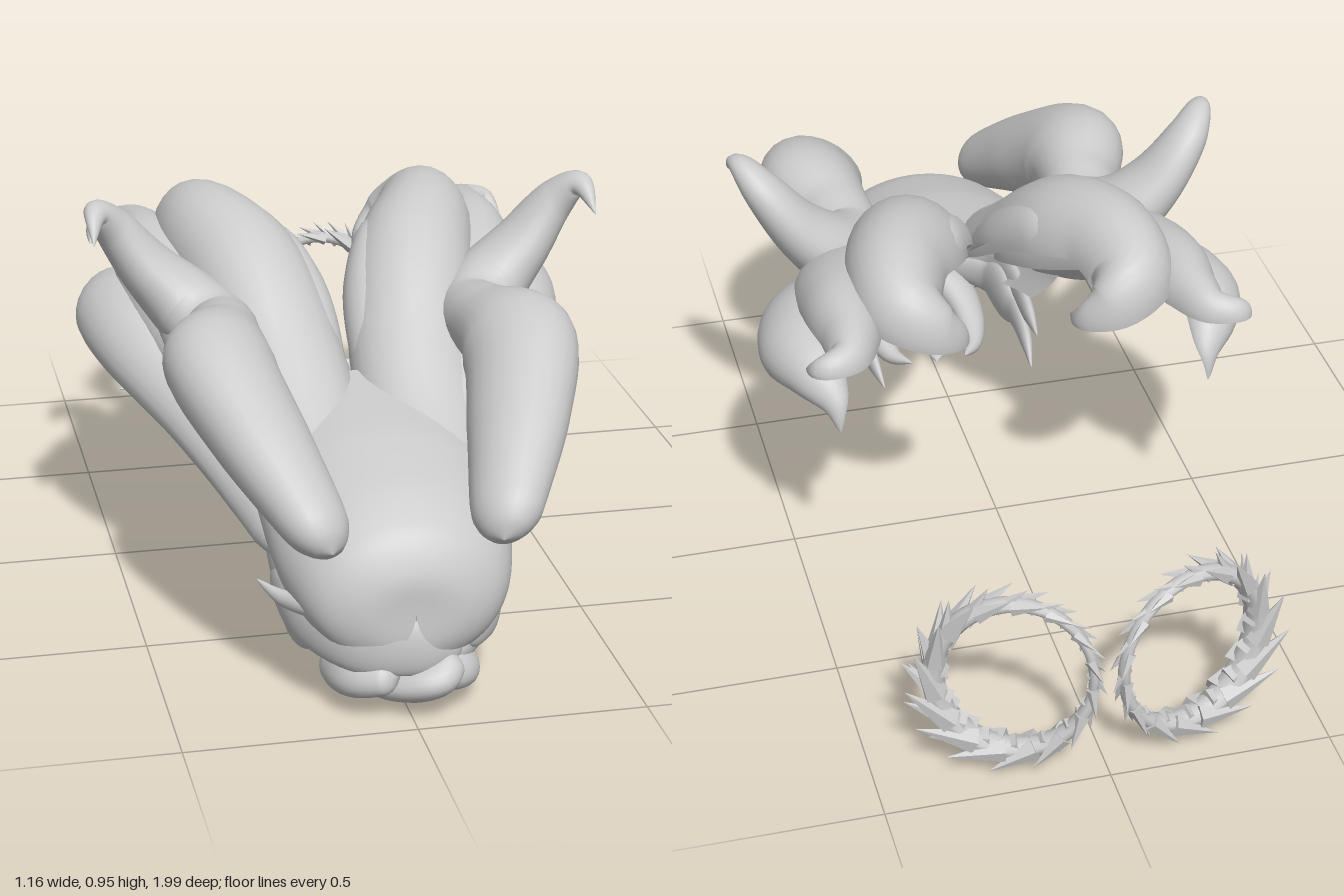
import * as THREE from 'three';

const V = (x, y, z) => new THREE.Vector3(x, y, z);
const material = new THREE.MeshStandardMaterial({ color: 0xcccccc });
const openMaterial = new THREE.MeshStandardMaterial({ color: 0xcccccc, side: THREE.DoubleSide });
const leafMaterial = new THREE.MeshStandardMaterial({ color: 0xcccccc, flatShading: true });

// Triangles for a grid of rows x cols; wrap joins the last column to the first
function gridGeometry(pos, rows, cols, wrap) {
  const index = [];
  for (let i = 0; i < rows - 1; i++) {
    for (let j = 0; j < (wrap ? cols : cols - 1); j++) {
      const k = (j + 1) % cols, a = i * cols, b = a + cols;
      index.push(a + j, b + j, a + k, b + j, b + k, a + k);
    }
  }
  const g = new THREE.BufferGeometry();
  g.setAttribute('position', new THREE.Float32BufferAttribute(pos, 3));
  g.setIndex(index);
  g.computeVertexNormals();
  return g;
}

// Tapered lock of hair. Each point is [x, y, z, half width, half thickness];
// under scales the lower half of the section (negative makes it hollow).
function strand(name, points, { s = 1, up = [0, 1, 0], under = 1, rows = 48, cols = 24 } = {}) {
  const path = new THREE.CatmullRomCurve3(points.map(p => V(p[0] * s, p[1], p[2])));
  const size = new THREE.CatmullRomCurve3(points.map(p => V(p[3], p[4], 0)));
  const hint = V(up[0] * s, up[1], up[2]), pos = [];
  for (let i = 0; i < rows; i++) {
    const u = i / (rows - 1);
    const c = path.getPoint(u), T = path.getTangent(u), r = size.getPoint(u);
    const e = Math.min(1, u / 0.08), f = Math.min(1, (1 - u) / 0.05);
    const round = Math.sqrt(1 - (1 - e) ** 2) * Math.sqrt(1 - (1 - f) ** 2);
    const side = T.clone().cross(hint).normalize();
    const top = side.clone().cross(T).normalize();
    for (let j = 0; j < cols; j++) {
      const a = (j / cols) * Math.PI * 2, sn = Math.sin(a);
      const p = c.clone()
        .addScaledVector(side, Math.cos(a) * Math.max(r.x, 0) * round)
        .addScaledVector(top, (sn > 0 ? sn : sn * under) * Math.max(r.y, 0) * round);
      pos.push(p.x, p.y, p.z);
    }
  }
  const mesh = new THREE.Mesh(gridGeometry(pos, rows, cols, true), material);
  mesh.name = name;
  return mesh;
}

// Hollow crown, open underneath; sections are [z, top, bottom, half width]
function crown() {
  const sections = [
    [0.97, 0.265, 0.265, 0], [0.965, 0.35, 0.17, 0.12], [0.92, 0.43, 0.12, 0.2],
    [0.8, 0.495, 0.12, 0.25], [0.65, 0.535, 0.18, 0.265], [0.5, 0.555, 0.26, 0.265],
    [0.35, 0.57, 0.34, 0.255]];
  const mids = new THREE.CatmullRomCurve3(sections.map(q => V(q[3], (q[1] + q[2]) / 2, q[0])));
  const heights = new THREE.CatmullRomCurve3(sections.map(q => V((q[1] - q[2]) / 2, 0, 0)));
  const rows = 40, cols = 40, pos = [];
  for (let i = 0; i < rows; i++) {
    const u = i / (rows - 1), m = mids.getPoint(u), h = heights.getPoint(u).x;
    const gap = 45 * Math.min(1, u * 3);
    for (let j = 0; j < cols; j++) {
      const a = THREE.MathUtils.degToRad(-90 + gap + (360 - 2 * gap) * j / (cols - 1));
      pos.push(m.x * Math.cos(a), m.y + h * Math.sin(a), m.z);
    }
  }
  const mesh = new THREE.Mesh(gridGeometry(pos, rows, cols, false), openMaterial);
  mesh.name = 'crown';
  return mesh;
}

// Locks that appear on both sides
function sideHair(s) {
  const g = new THREE.Group();
  g.name = s > 0 ? 'leftHair' : 'rightHair';
  const hollow = { s, under: -0.5 };
  g.add(
    strand('innerLobe', [
      [0.11, 0.37, 0.75, 0.09, 0.08], [0.135, 0.45, 0.5, 0.13, 0.1], [0.145, 0.56, 0.3, 0.14, 0.125],
      [0.195, 0.71, 0.08, 0.14, 0.145], [0.255, 0.76, -0.08, 0.115, 0.13], [0.265, 0.73, -0.2, 0.095, 0.12],
      [0.205, 0.69, -0.25, 0.06, 0.09], [0.15, 0.67, -0.235, 0.03, 0.05], [0.13, 0.66, -0.17, 0.002, 0.002]], hollow),
    strand('centreFringe', [
      [0.06, 0.4, 0.6, 0.04, 0.05], [0.068, 0.53, 0.35, 0.06, 0.06], [0.085, 0.67, 0.17, 0.07, 0.075],
      [0.12, 0.75, 0.03, 0.05, 0.07], [0.17, 0.74, -0.08, 0.01, 0.02]], { s, under: 0 }),
    strand('middleLobe', [
      [0.18, 0.37, 0.6, 0.08, 0.1], [0.25, 0.5, 0.33, 0.11, 0.12], [0.34, 0.63, 0.08, 0.12, 0.12],
      [0.385, 0.7, -0.12, 0.09, 0.1], [0.395, 0.71, -0.25, 0.065, 0.08], [0.42, 0.71, -0.325, 0.045, 0.06],
      [0.475, 0.71, -0.345, 0.03, 0.04], [0.505, 0.69, -0.29, 0.003, 0.003]], hollow),
    strand('outerLobe', [
      [0.2, 0.3, 0.72, 0.06, 0.05], [0.23, 0.37, 0.5, 0.09, 0.06], [0.32, 0.48, 0.28, 0.105, 0.07],
      [0.43, 0.58, 0.08, 0.115, 0.09], [0.475, 0.605, -0.07, 0.1, 0.08], [0.46, 0.6, -0.18, 0.07, 0.06],
      [0.435, 0.56, -0.25, 0.035, 0.03], [0.43, 0.5, -0.285, 0.003, 0.003]],
      { s, up: [0.5, 0.8, 0], under: 0 }),
    strand('hornLock', [
      [0.18, 0.42, 0.985, 0.065, 0.05], [0.21, 0.47, 0.9, 0.085, 0.07], [0.275, 0.57, 0.73, 0.115, 0.095],
      [0.33, 0.665, 0.53, 0.13, 0.11], [0.305, 0.665, 0.38, 0.09, 0.095], [0.295, 0.655, 0.27, 0.085, 0.09],
      [0.345, 0.69, 0.19, 0.1, 0.085], [0.43, 0.775, 0.165, 0.085, 0.065], [0.51, 0.885, 0.175, 0.055, 0.045],
      [0.55, 0.93, 0.22, 0.03, 0.025], [0.567, 0.88, 0.3, 0.002, 0.002]],
      { s, up: [-0.5, 0.8, 0], rows: 72 }),
    strand('hornRoot', [
      [0.22, 0.44, 0.5, 0.06, 0.07], [0.26, 0.54, 0.34, 0.09, 0.09], [0.31, 0.63, 0.22, 0.1, 0.09],
      [0.38, 0.71, 0.15, 0.06, 0.06], [0.42, 0.76, 0.14, 0.01, 0.01]], { s }),
    strand('upperTempleLock', [
      [0.12, 0.17, 0.92, 0.015, 0.04], [0.2, 0.2, 0.82, 0.022, 0.065], [0.22, 0.22, 0.66, 0.02, 0.055],
      [0.215, 0.23, 0.5, 0.015, 0.03], [0.21, 0.225, 0.4, 0.002, 0.002]], { s }),
    strand('lowerTempleLock', [
      [0.1, 0.14, 0.93, 0.015, 0.03], [0.185, 0.16, 0.8, 0.02, 0.045], [0.205, 0.175, 0.62, 0.02, 0.045],
      [0.2, 0.17, 0.47, 0.015, 0.03], [0.19, 0.145, 0.38, 0.002, 0.002]], { s }),
    strand('chinLock', [
      [0.03, 0.12, 0.95, 0.05, 0.035], [0.1, 0.1, 0.89, 0.06, 0.045], [0.125, 0.07, 0.79, 0.045, 0.035],
      [0.11, 0.045, 0.68, 0.025, 0.025], [0.07, 0.06, 0.6, 0.002, 0.002]], { s, up: [0.5, 0.8, 0.2] }));
  return g;
}

// Tilted oval cuff wrapped in pointed leaves, largest on the outer lower side
function leafCuff(s) {
  const g = new THREE.Group();
  g.name = s > 0 ? 'leftCuff' : 'rightCuff';
  const scaleAt = a => 0.72 + 0.28 * Math.cos(a + 0.5);
  const ring = [];
  for (let i = 0; i <= 24; i++) {
    const a = Math.PI + i / 23 * Math.PI * 2, k = scaleAt(a);
    ring.push([0.172 * Math.cos(a), 0.01 + 0.195 * Math.sin(a), 0, 0.026 * k, 0.035 * k]);
  }
  g.add(strand('cuffBand', ring, { s, up: [0, 0, 1], rows: 72, cols: 10 }));
  const leaf = new THREE.ConeGeometry(0.04, 0.14, 5).translate(0, 0.03, 0);
  const count = 15;
  for (let i = 0; i < count; i++) {
    for (const side of [-1, 0, 1]) {
      // The middle row is staggered by half a step
      const a = (i + (side ? 0 : 0.5)) / count * Math.PI * 2, k = scaleAt(a);
      const out = V(Math.cos(a) * s, Math.sin(a), 0), along = V(-Math.sin(a) * s, Math.cos(a), 0);
      const dir = along.addScaledVector(out, side ? 0.35 : 0.6).add(V(0, 0, side * 0.25)).normalize();
      const m = new THREE.Mesh(leaf, leafMaterial);
      m.name = 'leaf';
      m.position.set(0.172 * out.x, 0.01 + 0.195 * out.y, side * 0.026 * k).addScaledVector(out, 0.006 * k);
      m.quaternion.setFromUnitVectors(V(0, 1, 0), dir);
      m.scale.set(k * 0.75, k, k * 0.75);
      g.add(m);
    }
  }
  g.position.set(0.197 * s, 0.25, -0.92);
  g.rotation.y = -0.3 * s;
  return g;
}

export function createModel() {
  const model = new THREE.Group();
  model.name = 'sweptHairAndCuffs';
  model.add(crown());
  for (const s of [1, -1]) model.add(sideHair(s), leafCuff(s));
  // Swept fringe across the brow with a flicked tip, and the small central lock beneath
  model.add(
    strand('sweptFringe', [
      [0.115, 0.15, 0.91, 0.02, 0.035], [0.02, 0.17, 0.95, 0.02, 0.06], [-0.12, 0.195, 0.925, 0.025, 0.075],
      [-0.21, 0.21, 0.82, 0.025, 0.065], [-0.23, 0.21, 0.68, 0.02, 0.045], [-0.215, 0.19, 0.5, 0.002, 0.002]]),
    strand('fringeFlick', [
      [-0.05, 0.225, 0.94, 0.02, 0.025], [-0.18, 0.25, 0.88, 0.025, 0.025], [-0.25, 0.245, 0.8, 0.015, 0.018],
      [-0.295, 0.265, 0.74, 0.002, 0.002]]),
    strand('centreChinLock', [
      [0.1, 0.14, 0.92, 0.03, 0.03], [0.05, 0.095, 0.93, 0.07, 0.045], [0, 0.06, 0.86, 0.09, 0.04],
      [-0.02, 0.035, 0.74, 0.055, 0.025], [0, 0.04, 0.62, 0.002, 0.002]]));
  return model;
}
